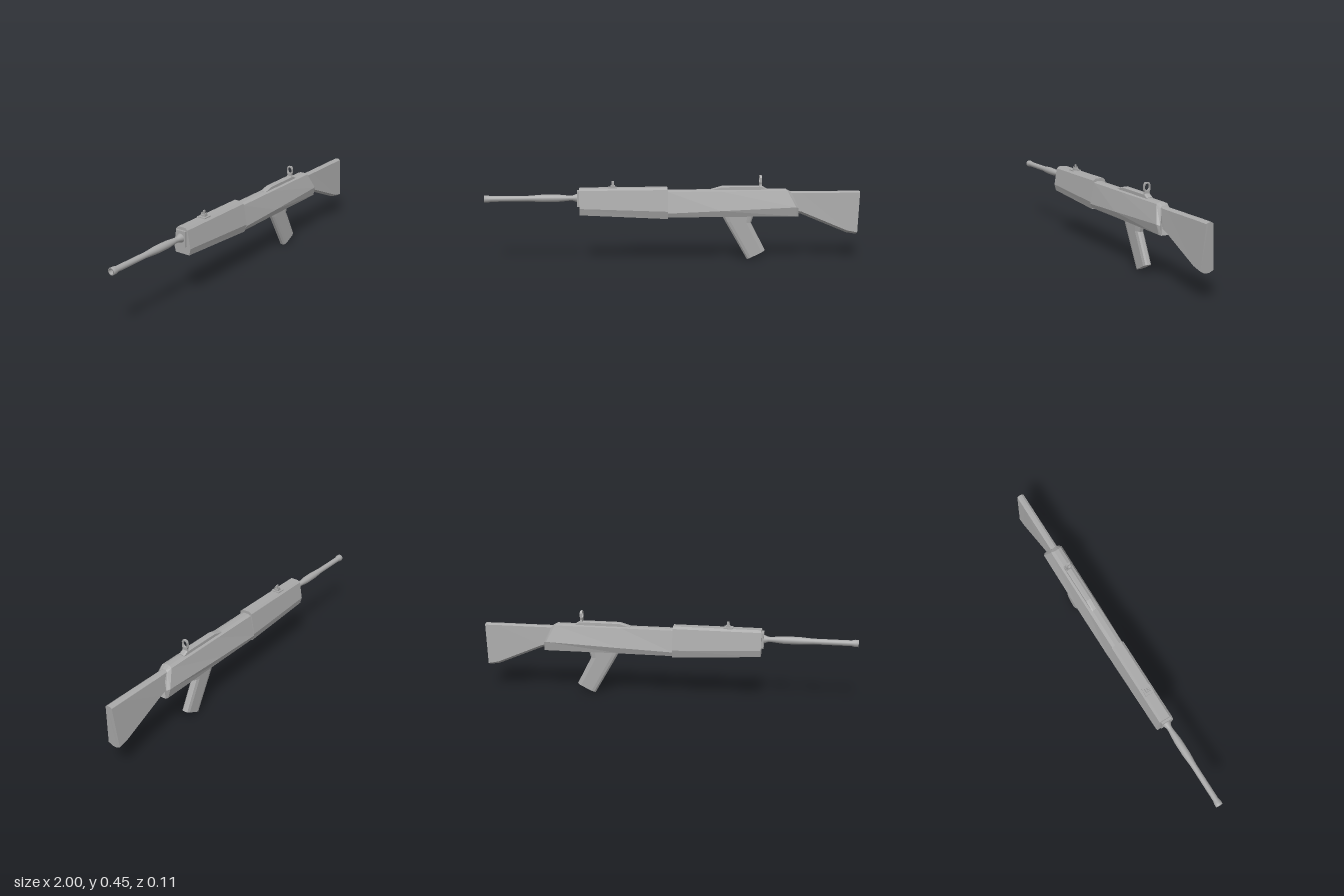
import * as THREE from 'three';

// Lofts a mirrored skin through rings; each ring lists half-profile points [x, y, z >= 0].
function loft(rings) {
  const full = rings.map((h) => [...h, ...h.slice().reverse().map(([x, y, z]) => [x, y, -z])]);
  const n = full[0].length;
  const pos = [];
  const tri = (a, b, c) => pos.push(...a, ...b, ...c);
  for (let r = 0; r < full.length - 1; r++) {
    for (let i = 0; i < n; i++) {
      const j = (i + 1) % n;
      const [a, b, c, d] = [full[r][i], full[r][j], full[r + 1][j], full[r + 1][i]];
      tri(a, b, c);
      tri(a, c, d);
    }
  }
  const first = full[0], last = full[full.length - 1];
  for (let i = 1; i < n - 1; i++) {
    tri(first[0], first[i + 1], first[i]);
    tri(last[0], last[i], last[i + 1]);
  }
  const g = new THREE.BufferGeometry();
  g.setAttribute('position', new THREE.Float32BufferAttribute(pos, 3));
  g.computeVertexNormals();
  return g;
}

// Ring at one x from [y, halfWidth] pairs
const at = (x, pts) => pts.map(([y, z]) => [x, y, z]);

export function createModel() {
  const model = new THREE.Group();
  const grey = new THREE.MeshStandardMaterial({ color: 0xa8a8a8 });
  grey.name = 'grey';

  const add = (name, geometry) => {
    const mesh = new THREE.Mesh(geometry, grey);
    mesh.name = name;
    model.add(mesh);
    return mesh;
  };
  const box = (name, x0, x1, y0, y1, z0, z1) =>
    add(name, new THREE.BoxGeometry(x1 - x0, y1 - y0, z1 - z0))
      .position.set((x0 + x1) / 2, (y0 + y1) / 2, (z0 + z1) / 2);

  // Forward housing, deepening towards the middle
  add('handguard', loft([
    at(-0.505, [[0.399, 0.022], [0.388, 0.035], [0.295, 0.051], [0.26, 0.042]]),
    at(-0.04, [[0.399, 0.022], [0.388, 0.035], [0.275, 0.054], [0.234, 0.042]]),
  ]));

  // Main housing with slanted, bevelled rear
  add('receiver', loft([
    at(-0.04, [[0.384, 0.012], [0.377, 0.03], [0.265, 0.053], [0.242, 0.044]]),
    at(0.24, [[0.384, 0.012], [0.377, 0.03], [0.275, 0.056], [0.242, 0.044]]),
    [[0.595, 0.384, 0.012], [0.6, 0.377, 0.03], [0.645, 0.29, 0.056], [0.65, 0.24, 0.045]],
    [[0.62, 0.37, 0.01], [0.625, 0.362, 0.022], [0.66, 0.285, 0.044], [0.662, 0.238, 0.038]],
  ]));

  // Tapered shoulder stock
  add('stock', loft([
    at(0.6, [[0.369, 0.008], [0.362, 0.019], [0.28, 0.026], [0.272, 0.012]]),
    at(0.68, [[0.368, 0.008], [0.361, 0.019], [0.262, 0.028], [0.248, 0.012]]),
    at(0.93, [[0.368, 0.008], [0.361, 0.019], [0.157, 0.034], [0.143, 0.012]]),
    [[1, 0.367, 0.008], [0.999, 0.36, 0.019], [0.986, 0.146, 0.035], [0.985, 0.134, 0.012]],
  ]));

  // Raked handle with rounded front and back
  const handleProfile = [[0, 0.008], [0.07, 0.017], [0.2, 0.021], [0.8, 0.021], [0.94, 0.016], [1, 0.008]];
  const handleSpans = [
    [[0.39, 0.003], [0.488, 0.05]],
    [[0.27, 0.212], [0.41, 0.2]],
    [[0.25, 0.25], [0.425, 0.25]],
  ];
  add('handle', loft(handleSpans.map(([f, b]) => handleProfile.map(
    ([u, z]) => [f[0] + (b[0] - f[0]) * u, f[1] + (b[1] - f[1]) * u, z]))));

  // Hollow tube with a swollen middle and flared tip
  const tubeProfile = [
    [0, -0.94], [0.013, -0.94], [0.013, -1], [0.019, -1], [0.019, -0.982], [0.015, -0.965],
    [0.015, -0.77], [0.02, -0.7], [0.02, -0.62], [0.014, -0.56], [0.014, -0.54], [0.024, -0.515], [0.024, -0.49],
  ].map(([r, x]) => new THREE.Vector2(r, x));
  const barrel = add('barrel', new THREE.LatheGeometry(tubeProfile, 16));
  barrel.rotation.z = -Math.PI / 2;
  barrel.position.y = 0.346;
  box('barrelCollar', -0.517, -0.5, 0.302, 0.384, -0.028, 0.028);

  // Raised rail on top
  add('topRail', loft([
    at(0.19, [[0.385, 0.009], [0.382, 0.017], [0.375, 0.018]]),
    at(0.25, [[0.402, 0.009], [0.397, 0.017], [0.375, 0.018]]),
    at(0.465, [[0.402, 0.009], [0.397, 0.017], [0.375, 0.018]]),
    at(0.49, [[0.388, 0.009], [0.384, 0.017], [0.375, 0.018]]),
  ]));

  // Front sight: base, block, blade and two ears
  box('frontSightBase', -0.355, -0.308, 0.39, 0.403, -0.024, 0.024);
  box('frontSightBlock', -0.341, -0.318, 0.4, 0.412, -0.013, 0.013);
  box('frontSightBlade', -0.336, -0.323, 0.41, 0.433, -0.003, 0.003);
  for (const s of [-1, 1]) {
    box('frontSightEar', -0.336, -0.323, 0.402, 0.42, s * 0.011 - 0.002, s * 0.011 + 0.002);
  }

  // Rear sight: upright plate with an oval opening
  const plate = new THREE.Shape([
    [-0.017, 0.39], [0.017, 0.39], [0.013, 0.409], [0.017, 0.42], [0.017, 0.446], [0.01, 0.457],
    [-0.01, 0.457], [-0.017, 0.446], [-0.017, 0.42], [-0.013, 0.409],
  ].map(([z, y]) => new THREE.Vector2(z, y)));
  const opening = new THREE.Path();
  opening.absellipse(0, 0.434, 0.0135, 0.017, 0, Math.PI * 2, true);
  plate.holes.push(opening);
  const rear = add('rearSight', new THREE.ExtrudeGeometry(plate, { depth: 0.012, bevelEnabled: false, curveSegments: 8 }));
  rear.rotation.y = Math.PI / 2;
  rear.position.x = 0.453;

  return model;
}
